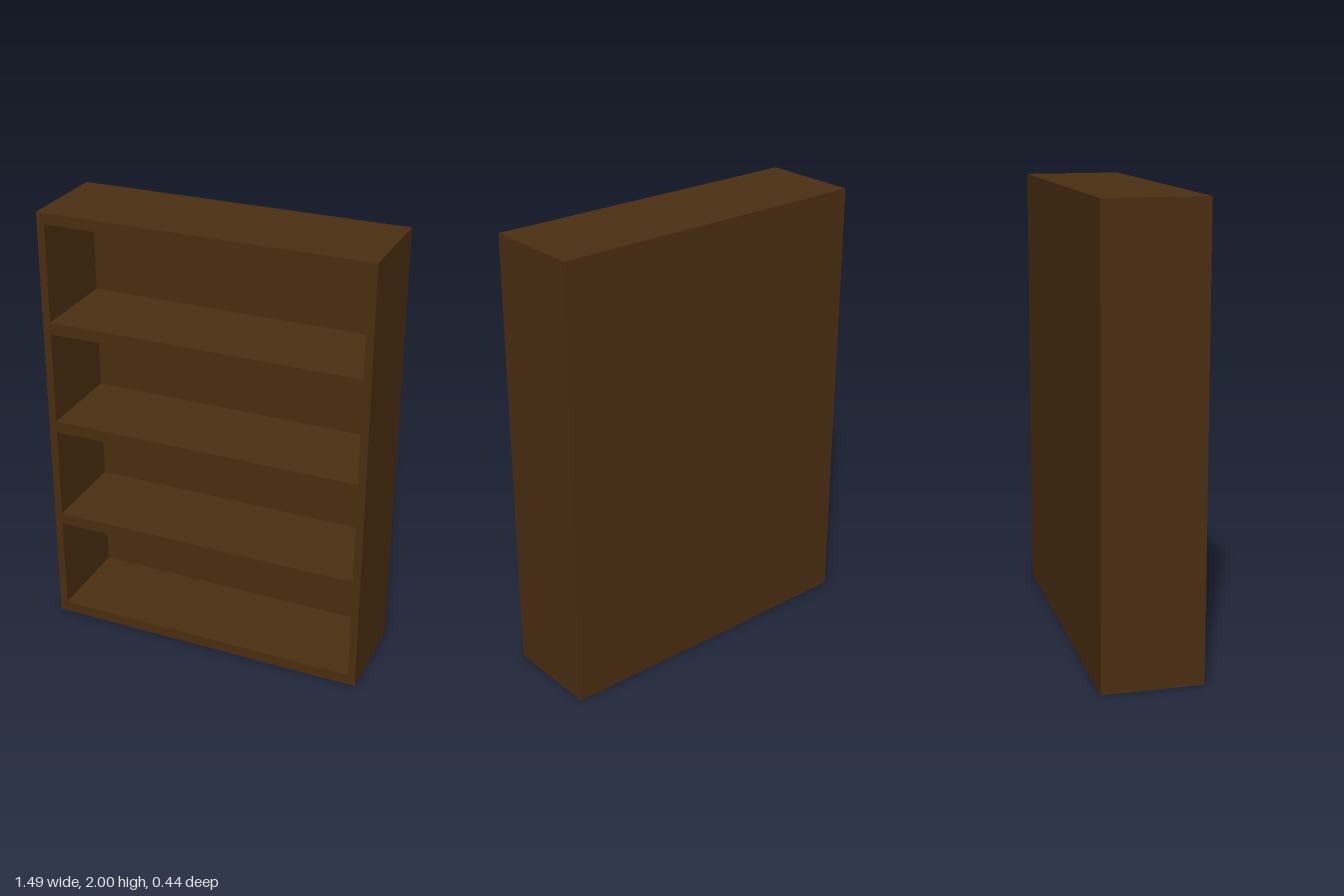
import * as THREE from 'three';

const W = 1.49, H = 2, D = 0.44;           // overall size
const SIDE = 0.035, BOARD = 0.055, BACK = 0.015; // board thicknesses

export function createModel() {
  const wood = new THREE.MeshStandardMaterial({ color: 0x4a2e10 });
  wood.name = 'darkWood';

  const bookcase = new THREE.Group();
  bookcase.name = 'bookcase';

  const addBoard = (name, w, h, d, x, y, z) => {
    const mesh = new THREE.Mesh(new THREE.BoxGeometry(w, h, d), wood);
    mesh.name = name;
    mesh.position.set(x, y, z);
    bookcase.add(mesh);
  };

  // Upright sides
  for (const [name, s] of [['leftSide', 1], ['rightSide', -1]]) {
    addBoard(name, SIDE, H, D, s * (W - SIDE) / 2, H / 2, 0);
  }

  // Top and bottom boards between the sides
  const innerW = W - 2 * SIDE, edge = 0.05;
  addBoard('topBoard', innerW, edge, D, 0, H - edge / 2, 0);
  addBoard('bottomBoard', innerW, edge, D, 0, edge / 2, 0);

  // Back panel
  addBoard('backPanel', innerW, H - 2 * edge, BACK, 0, H / 2, (BACK - D) / 2);

  // Shelves, flush with the front edge
  [0.518, 0.998, 1.478].forEach((y, i) => {
    addBoard(`shelf${i + 1}`, innerW, BOARD, D - BACK, 0, y, BACK / 2);
  });

  return bookcase;
}
